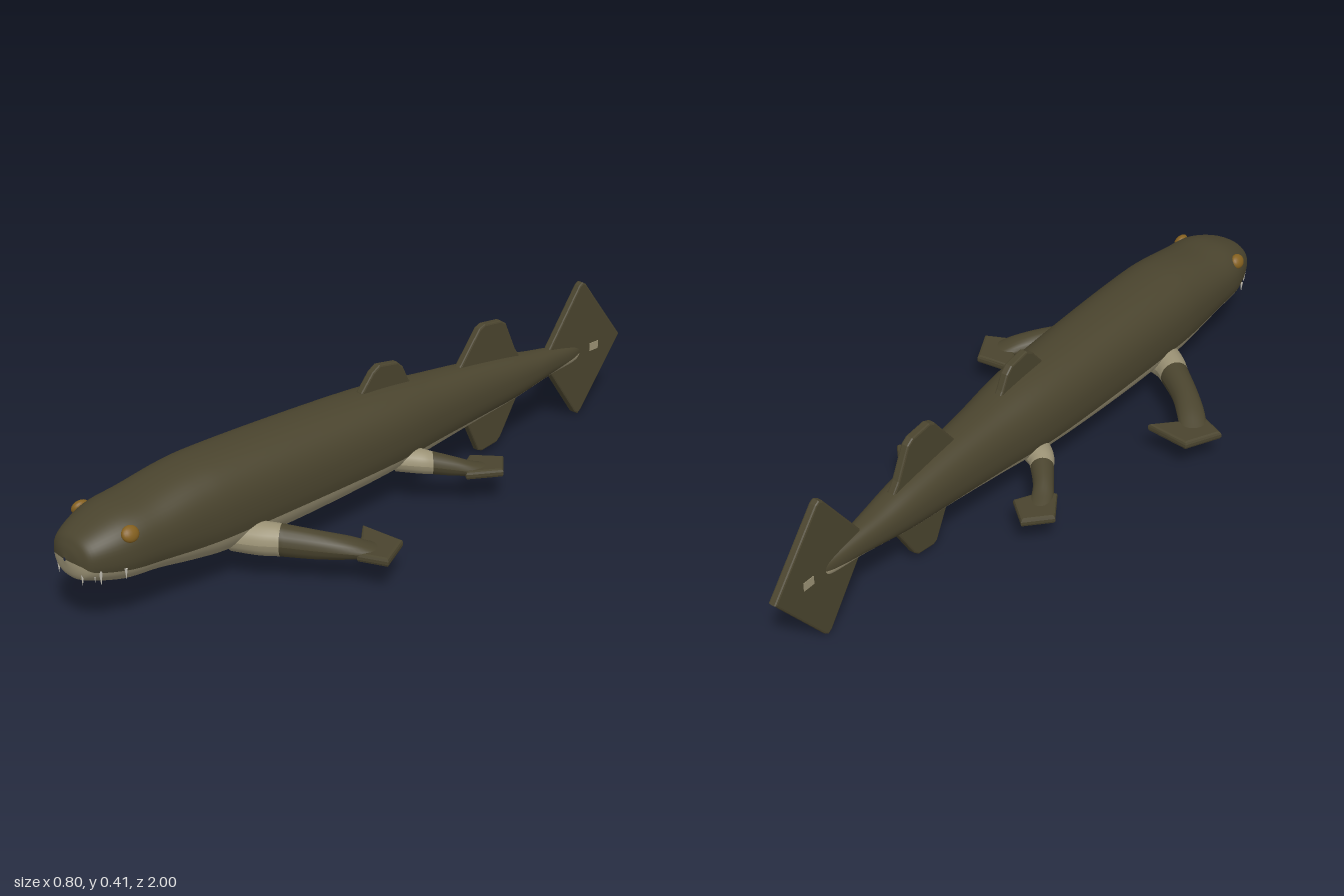
import * as THREE from 'three';

const mat = (name, color, extra = {}) =>
  Object.assign(new THREE.MeshStandardMaterial({ color, ...extra }), { name });

// Smooth skin over rows of points
function skin(rows) {
  const n = rows[0].length, pos = [], idx = [];
  rows.forEach(r => r.forEach(p => pos.push(p.x, p.y, p.z)));
  for (let i = 0; i < rows.length - 1; i++) {
    for (let j = 0; j < n - 1; j++) {
      const a = i * n + j, b = a + n;
      idx.push(a, b, a + 1, a + 1, b, b + 1);
    }
  }
  const g = new THREE.BufferGeometry();
  g.setAttribute('position', new THREE.Float32BufferAttribute(pos, 3));
  g.setIndex(idx);
  g.computeVertexNormals();
  return g;
}

// Flat plate from an outline, centred on its thickness
function plate(points, thick, bevel = 0.005) {
  const shape = new THREE.Shape(points.map(p => new THREE.Vector2(p[0], p[1])));
  const g = new THREE.ExtrudeGeometry(shape, {
    depth: thick - 2 * bevel, bevelEnabled: true, bevelThickness: bevel,
    bevelSize: bevel, bevelOffset: -bevel, bevelSegments: 2,
  });
  return g.translate(0, 0, -(thick - 2 * bevel) / 2);
}

// Body stations: z, top, bottom, half width, colour line height
const STATIONS = [
  [1.0, 0.205, 0.195, 0.004, 0.2], [0.99, 0.235, 0.155, 0.05, 0.195],
  [0.965, 0.262, 0.14, 0.08, 0.18], [0.88, 0.297, 0.116, 0.111, 0.168],
  [0.78, 0.312, 0.106, 0.118, 0.16], [0.66, 0.333, 0.085, 0.123, 0.153],
  [0.55, 0.34, 0.074, 0.126, 0.153], [0.3, 0.338, 0.075, 0.122, 0.153],
  [0.0, 0.328, 0.09, 0.11, 0.151], [-0.2, 0.308, 0.108, 0.086, 0.151],
  [-0.36, 0.291, 0.124, 0.07, 0.153], [-0.52, 0.27, 0.14, 0.057, 0.158],
  [-0.62, 0.252, 0.154, 0.045, 0.167], [-0.7, 0.24, 0.164, 0.033, 0.178],
  [-0.8, 0.222, 0.17, 0.018, 0.19], [-0.84, 0.21, 0.185, 0.006, 0.198],
];

// Upper or lower half of the body, split along the colour line
function bodyHalf(upper) {
  const size = new THREE.CatmullRomCurve3(
    STATIONS.map(s => new THREE.Vector3(s[1], s[2], s[3])), false, 'catmullrom', 0.5);
  const line = new THREE.CatmullRomCurve3(
    STATIONS.map(s => new THREE.Vector3(s[0], s[4], 0)), false, 'catmullrom', 0.5);
  const power = 2.3, rows = [], steps = 90, around = 32;
  const curve = v => Math.sign(v) * Math.pow(Math.abs(v), 2 / power);
  for (let i = 0; i <= steps; i++) {
    const { x: top, y: bottom, z: hw } = size.getPoint(i / steps);
    const { x: z, y: split } = line.getPoint(i / steps);
    const cy = (top + bottom) / 2, hh = (top - bottom) / 2;
    const s = THREE.MathUtils.clamp((split - cy) / hh, -0.95, 0.95);
    const a = Math.asin(Math.sign(s) * Math.pow(Math.abs(s), power / 2));
    const from = upper ? a : Math.PI - a;
    const to = upper ? Math.PI - a : 2 * Math.PI + a;
    const row = [];
    for (let j = 0; j <= around; j++) {
      const t = from + (to - from) * j / around;
      row.push(new THREE.Vector3(hw * curve(Math.cos(t)), cy + hh * curve(Math.sin(t)), z));
    }
    rows.push(row);
  }
  return skin(rows);
}

// Rings along a limb: each station is x, y, z, half width, half height
function limbRows(stations, side) {
  const pts = stations.map(s => new THREE.Vector3(s[0] * side, s[1], s[2]));
  const path = new THREE.CatmullRomCurve3(pts, false, 'catmullrom', 0.5);
  const radii = new THREE.CatmullRomCurve3(
    stations.map(s => new THREE.Vector3(s[3], s[4], 0)), false, 'catmullrom', 0.5);
  const rows = [], steps = (stations.length - 1) * 6;
  const up = new THREE.Vector3(0, 1, 0);
  for (let i = 0; i <= steps; i++) {
    const c = path.getPoint(i / steps), r = radii.getPoint(i / steps);
    const across = up.clone().cross(path.getTangent(i / steps).negate()).normalize();
    const row = [];
    for (let j = 0; j <= 20; j++) {
      const t = j / 20 * Math.PI * 2;
      row.push(c.clone().addScaledVector(across, r.x * Math.cos(t))
        .addScaledVector(up, r.y * Math.sin(t)));
    }
    rows.push(row);
  }
  return rows;
}

const LIMBS = [
  {
    name: 'front', cuff: 12, footY: 0.09,
    path: [[0.06, 0.12, 0.52, 0.06, 0.046], [0.12, 0.117, 0.495, 0.046, 0.044],
      [0.16, 0.115, 0.465, 0.04, 0.042], [0.23, 0.108, 0.41, 0.036, 0.037],
      [0.29, 0.1, 0.35, 0.038, 0.026], [0.33, 0.091, 0.3, 0.036, 0.011]],
    foot: [[0.4, 0.33], [0.35, 0.23], [0.22, 0.245], [0.28, 0.31], [0.325, 0.365]],
  },
  {
    name: 'hind', cuff: 12, footY: 0.094,
    path: [[0.05, 0.13, -0.05, 0.045, 0.035], [0.1, 0.128, -0.08, 0.036, 0.034],
      [0.123, 0.122, -0.105, 0.031, 0.031], [0.16, 0.11, -0.15, 0.027, 0.026],
      [0.185, 0.1, -0.19, 0.029, 0.018], [0.2, 0.095, -0.23, 0.026, 0.01]],
    foot: [[0.26, -0.235], [0.2, -0.3], [0.13, -0.24], [0.165, -0.175], [0.205, -0.15]],
  },
];

// Fin outlines in z, y
const FINS = {
  firstDorsalFin: [[0.06, 0.3], [0.045, 0.332], [0.005, 0.378], [-0.02, 0.393],
    [-0.085, 0.383], [-0.105, 0.365], [-0.125, 0.325], [-0.15, 0.29]],
  secondDorsalFin: [[-0.3, 0.27], [-0.33, 0.3], [-0.4, 0.387], [-0.42, 0.395],
    [-0.485, 0.388], [-0.505, 0.375], [-0.545, 0.29], [-0.58, 0.24]],
  analFin: [[-0.32, 0.15], [-0.355, 0.12], [-0.405, 0.02], [-0.42, 0.014],
    [-0.48, 0.022], [-0.495, 0.035], [-0.545, 0.115], [-0.58, 0.17]],
  tailFin: [[-0.66, 0.21], [-0.69, 0.236], [-0.815, 0.402], [-0.828, 0.409],
    [-0.84, 0.402], [-1.0, 0.205], [-0.84, 0.008], [-0.828, 0],
    [-0.815, 0.008], [-0.69, 0.178]],
};

export function createModel() {
  const back = mat('darkOlive', 0x4a442e);
  const belly = mat('paleBelly', 0x9a9174);
  const amber = mat('amberEye', 0x84601f);
  const ivory = mat('ivoryTooth', 0xc4c0b4, { side: THREE.DoubleSide });
  const model = new THREE.Group();
  model.name = 'fish';
  const add = (name, geometry, material) => {
    const mesh = new THREE.Mesh(geometry, material);
    mesh.name = name;
    model.add(mesh);
    return mesh;
  };

  add('back', bodyHalf(true), back);
  add('belly', bodyHalf(false), belly);

  // Upright fins on the centre line
  for (const [name, outline] of Object.entries(FINS)) {
    add(name, plate(outline, 0.024).rotateY(-Math.PI / 2), back);
  }

  for (const side of [1, -1]) {
    const label = side > 0 ? 'left' : 'right';

    // Limbs with a pale cuff at the root and a flat foot
    for (const limb of LIMBS) {
      const rows = limbRows(limb.path, side);
      add(`${label} ${limb.name} limb root`, skin(rows.slice(0, limb.cuff + 1)), belly);
      add(`${label} ${limb.name} limb`, skin(rows.slice(limb.cuff)), back);
      const outline = limb.foot.map(([x, z]) => [x * side, -z]);
      add(`${label} ${limb.name} foot`,
        plate(outline, 0.024, 0.008).rotateX(-Math.PI / 2).translate(0, limb.footY, 0), back);
    }

    // Eyes
    const eye = add(`${label} eye`, new THREE.SphereGeometry(1, 20, 14), amber);
    eye.scale.set(0.014, 0.021, 0.024);
    eye.position.set(side * 0.097, 0.259, 0.878);
    eye.rotation.z = side * 0.55;

    // Teeth: x, root height, z, length, radius
    const teeth = [[0.046, 0.195, 0.985, 0.057, 0.006], [0.068, 0.188, 0.965, 0.038, 0.005],
      [0.078, 0.183, 0.955, 0.042, 0.005], [0.103, 0.178, 0.9, 0.03, 0.004]];
    teeth.forEach(([x, y, z, length, radius], i) => {
      const tooth = add(`${label} tooth ${i + 1}`,
        new THREE.ConeGeometry(radius, length, 10).rotateX(Math.PI), ivory);
      tooth.position.set(side * x, y - length / 2, z);
    });

    // Pale fleck on the tail
    add(`${label} tail fleck`, new THREE.BoxGeometry(0.002, 0.024, 0.036), belly)
      .position.set(side * 0.0125, 0.199, -0.885);
  }
  return model;
}
